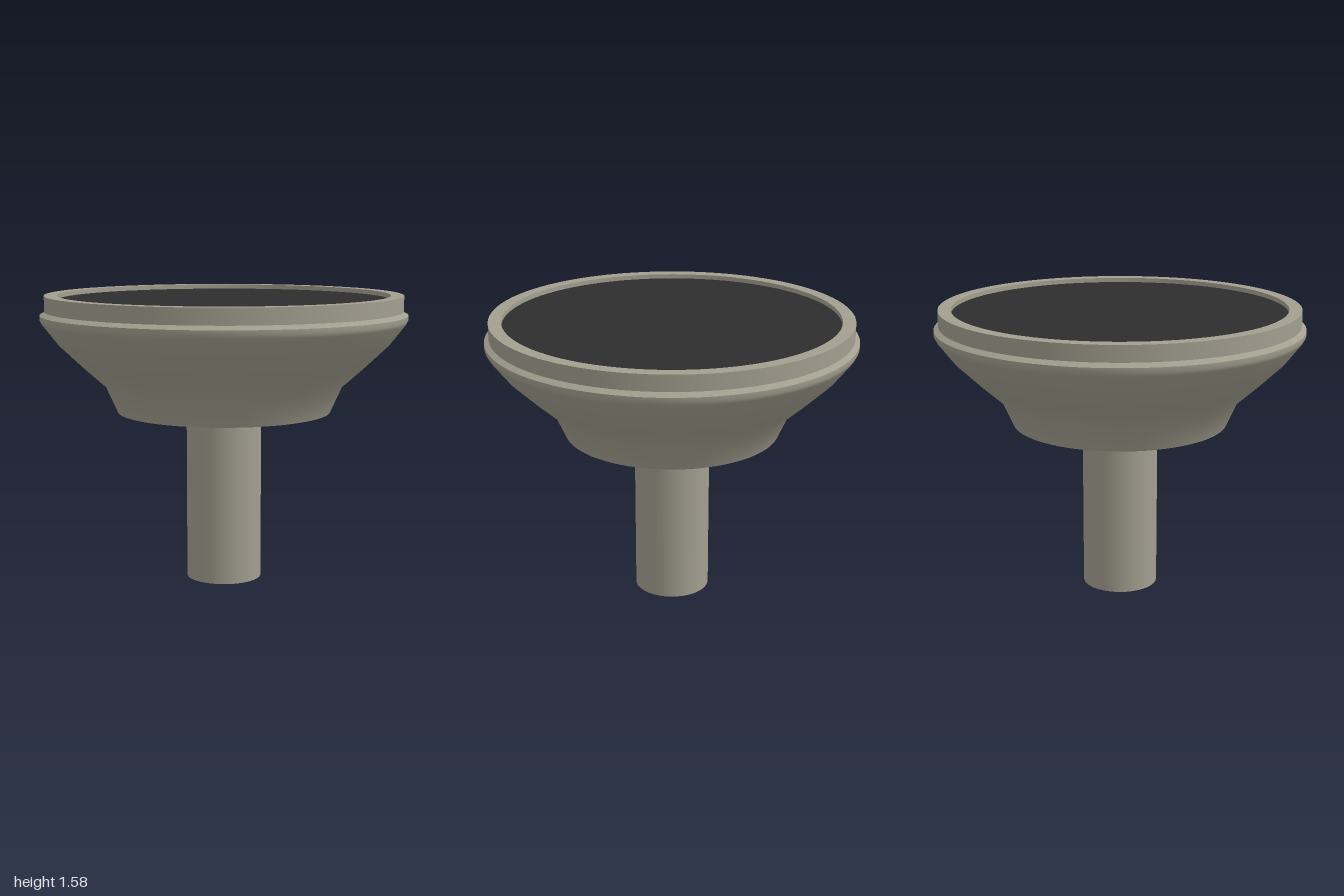
import * as THREE from 'three';

export function createModel() {
  const group = new THREE.Group();
  const metal = new THREE.MeshStandardMaterial({ color: 0xa29f8f });
  metal.name = 'warm grey metal';
  const dark = new THREE.MeshStandardMaterial({ color: 0x2d2d2d });
  dark.name = 'charcoal face';

  const add = (name, geometry, material, y = 0) => {
    const mesh = new THREE.Mesh(geometry, material);
    mesh.name = name;
    mesh.position.y = y;
    group.add(mesh);
  };
  // Revolved surface from [radius, height] pairs
  const lathe = (points) =>
    new THREE.LatheGeometry(points.map(([r, y]) => new THREE.Vector2(r, y)), 96);

  // Round stem running up into the head
  add('stem', new THREE.CylinderGeometry(0.207, 0.207, 0.95, 32), metal, 0.475);

  // Flared head, split at its sharp edges
  add('headUnderside', lathe([[0, 0.94], [0.587, 0.94]]), metal);
  add('headFlare', lathe([
    [0.587, 0.94], [0.652, 1.085], [0.78, 1.2], [0.905, 1.32],
    [0.99, 1.43], [1, 1.45], [1, 1.475],
  ]), metal);
  add('headShoulder', lathe([[1, 1.475], [0.96, 1.495]]), metal);

  // Raised rim, each flat band its own surface
  add('rimUnderside', lathe([[0.94, 1.495], [0.975, 1.495]]), metal);
  add('rimOuter', lathe([[0.975, 1.495], [0.975, 1.58]]), metal);
  add('rimTop', lathe([[0.975, 1.58], [0.905, 1.58]]), metal);
  add('rimInner', lathe([[0.905, 1.58], [0.905, 1.54]]), metal);

  // Dark face recessed inside the rim
  add('facePlate', new THREE.CylinderGeometry(0.905, 0.905, 0.008, 96), dark, 1.551);

  return group;
}
